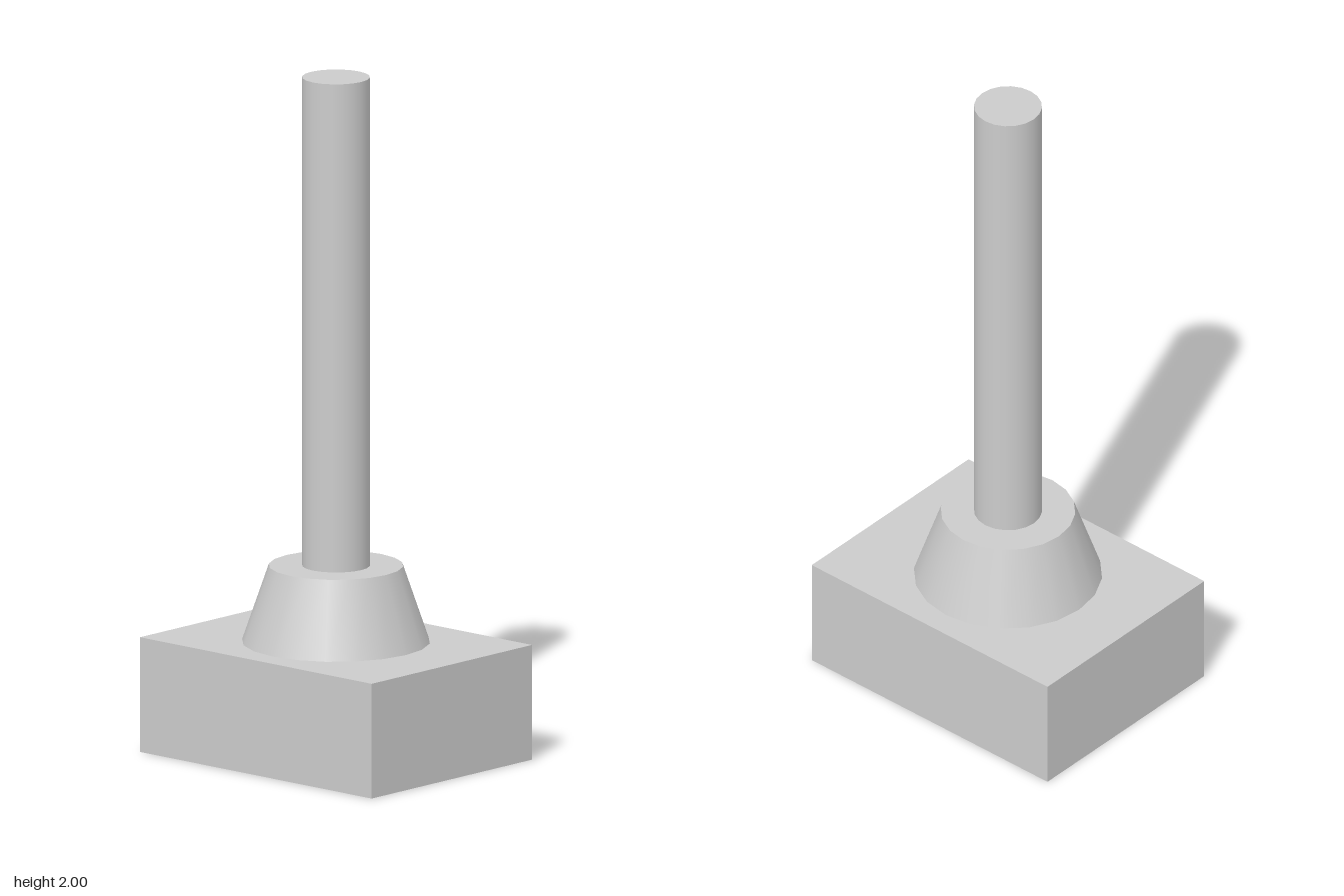
import * as THREE from 'three';

const material = new THREE.MeshStandardMaterial({ color: 0xcccccc, side: THREE.DoubleSide });
const SIDES = 20;

// Upright round part between two heights, open underneath, with a flat cap on top
function roundPart(name, rTop, rBottom, yBottom, yTop) {
  const group = new THREE.Group();
  group.name = name;
  const height = yTop - yBottom;
  const wall = new THREE.Mesh(
    new THREE.CylinderGeometry(rTop, rBottom, height, SIDES, 1, true), material);
  wall.name = name + 'Wall';
  wall.position.y = yBottom + height / 2;
  // Start angle lines the cap's corners up with the wall's
  const cap = new THREE.Mesh(new THREE.CircleGeometry(rTop, SIDES).rotateX(-Math.PI / 2), material);
  cap.name = name + 'Cap';
  cap.position.y = yTop;
  group.add(wall, cap);
  return group;
}

// Thin-walled box, open underneath
function openBox(width, height, depth) {
  const geometry = new THREE.BoxGeometry(width, height, depth);
  const index = Array.from(geometry.index.array);
  index.splice(18, 6); // drop the bottom face
  geometry.setIndex(index);
  geometry.clearGroups();
  geometry.translate(0, height / 2, 0);
  return geometry;
}

export function createModel() {
  const model = new THREE.Group();
  model.name = 'postOnBase';

  const base = new THREE.Mesh(openBox(0.684, 0.338, 0.9), material);
  base.name = 'base';

  // The collar's open rim dips slightly below the top of the base
  const collar = roundPart('collar', 0.194, 0.28, 0.313, 0.562);
  const post = roundPart('post', 0.098, 0.098, 0.562, 2);

  model.add(base, collar, post);
  return model;
}
